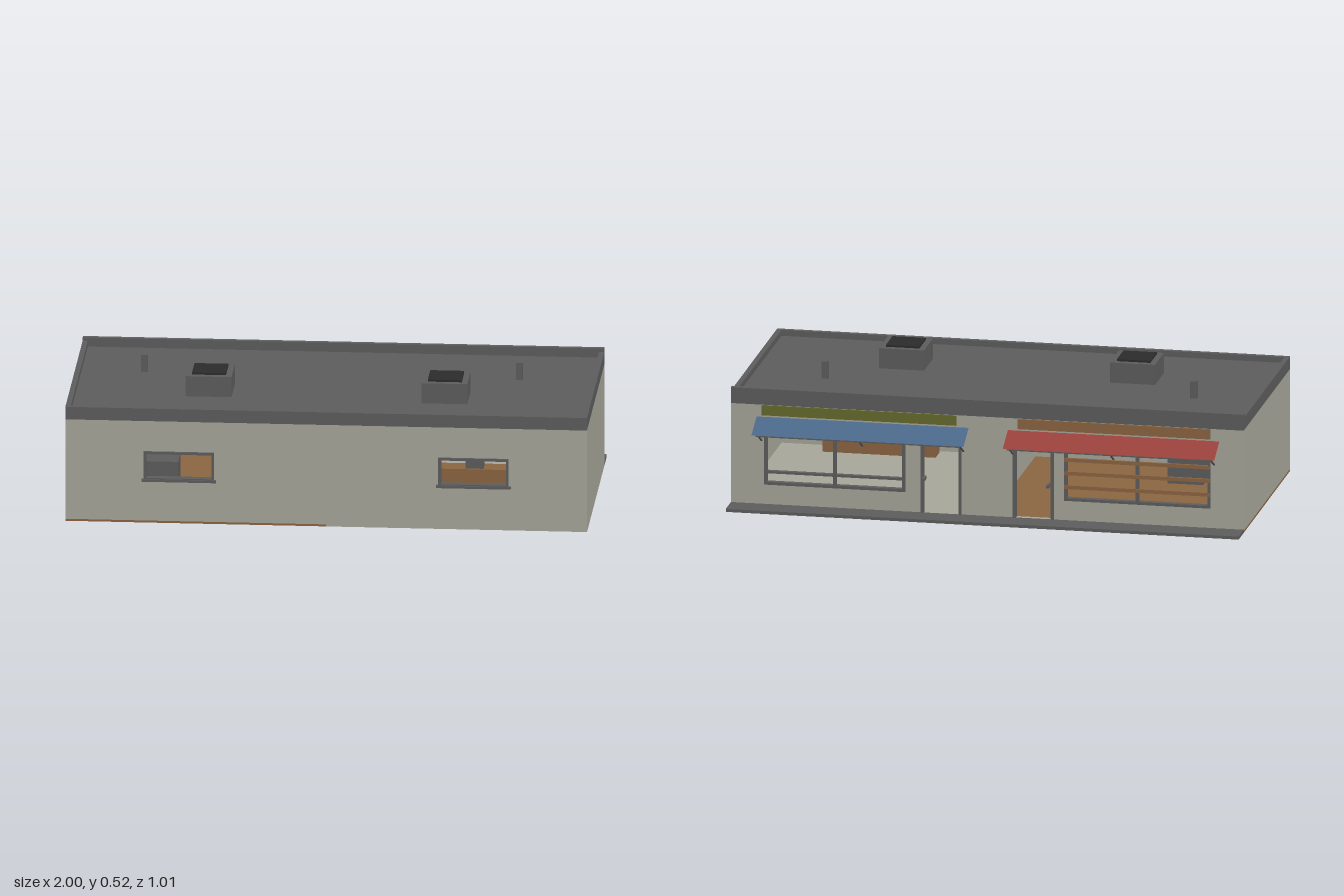
import * as THREE from 'three';

const mat = (name, color, side = THREE.FrontSide) => {
  const m = new THREE.MeshStandardMaterial({ color, side });
  m.name = name;
  return m;
};

export function createModel() {
  const group = new THREE.Group();
  const wall = mat('wall plaster', 0xa6a69b);
  const dark = mat('dark grey trim', 0x5d5d5d);
  const black = mat('black glass', 0x2c2c2c);
  const wood = mat('brown wood', 0x8b6541);
  const red = mat('red canvas', 0x99413a);
  const blue = mat('blue canvas', 0x4b688a);
  const olive = mat('olive sign', 0x66692c);

  const add = (name, geo, m) => {
    const mesh = new THREE.Mesh(geo, m);
    mesh.name = name;
    group.add(mesh);
    return mesh;
  };
  // box given by its lower and upper bounds on each axis
  const box = (name, m, x0, x1, y0, y1, z0, z1) => {
    const b = add(name, new THREE.BoxGeometry(x1 - x0, y1 - y0, z1 - z0), m);
    b.position.set((x0 + x1) / 2, (y0 + y1) / 2, (z0 + z1) / 2);
    return b;
  };
  // wall facing front or back, with rectangular openings [x0, x1, y0, y1]
  const piercedWall = (name, z, holes) => {
    const rect = (P, x0, x1, y0, y1) => {
      const p = new P();
      p.moveTo(x0, y0); p.lineTo(x1, y0); p.lineTo(x1, y1); p.lineTo(x0, y1); p.closePath();
      return p;
    };
    const s = rect(THREE.Shape, -1, 1, 0.008, 0.405);
    holes.forEach(h => s.holes.push(rect(THREE.Path, ...h)));
    add(name, new THREE.ExtrudeGeometry(s, { depth: 0.02, bevelEnabled: false }), wall).position.z = z;
  };
  // rectangular frame around an opening
  const frame = (name, [x0, x1, y0, y1], z0, z1, t = 0.01, bottom = true) => {
    box(name, dark, x0, x0 + t, y0, y1, z0, z1);
    box(name, dark, x1 - t, x1, y0, y1, z0, z1);
    box(name, dark, x0 + t, x1 - t, y1 - t, y1, z0, z1);
    if (bottom) box(name, dark, x0 + t, x1 - t, y0, y0 + t, z0, z1);
  };

  // openings
  const rearWindows = [[-0.7, -0.43, 0.17, 0.285], [0.43, 0.7, 0.17, 0.285]];
  const shopWindows = [[0.32, 0.87, 0.09, 0.305], [-0.87, -0.3, 0.09, 0.305]];
  const doors = [[0.1, 0.26, 0.012, 0.305], [-0.26, -0.1, 0.012, 0.305]];

  // shell
  piercedWall('frontWall', 0.475, rearWindows);
  piercedWall('shopWall', -0.405, [...shopWindows, ...doors]);
  for (const s of [-1, 1]) {
    box('sideWall', wall, s < 0 ? -1 : 0.98, s < 0 ? -0.98 : 1, 0.008, 0.405, -0.385, 0.475);
    box('sideParapet', dark, s < 0 ? -1 : 0.98, s < 0 ? -0.98 : 1, 0.405, 0.455, -0.385, 0.475);
  }
  box('partition', wall, -0.01, 0.01, 0.008, 0.405, -0.385, 0.475);
  box('woodFloor', wood, -1, 0, 0, 0.008, -0.405, 0.495);
  box('plainFloor', wall, 0, 1, 0, 0.008, -0.405, 0.495);
  box('pavement', dark, -1, 1, 0, 0.012, -0.505, -0.405);
  box('roof', dark, -0.98, 0.98, 0.405, 0.432, -0.385, 0.475);
  box('frontParapet', dark, -1, 1, 0.405, 0.455, 0.475, 0.495);
  box('shopParapet', dark, -1, 1, 0.405, 0.468, -0.405, -0.385);

  // roof lights and vents
  for (const [x, z] of [[-0.47, 0.157], [0.436, 0.183]]) {
    box('roofLightBase', dark, x - 0.088, x + 0.088, 0.43, 0.512, z - 0.087, z + 0.087);
    box('roofLightGlass', black, x - 0.065, x + 0.065, 0.512, 0.52, z - 0.063, z + 0.063);
  }
  for (const x of [-0.74, 0.698]) box('roofVent', dark, x - 0.013, x + 0.013, 0.43, 0.5, -0.09, -0.066);

  // plain windows with sills
  for (const w of rearWindows) {
    frame('frontWindowFrame', w, 0.473, 0.502);
    box('frontWindowSill', dark, w[0] - 0.008, w[1] + 0.008, 0.166, 0.176, 0.475, 0.507);
  }

  // shop windows and doors
  for (const w of shopWindows) {
    frame('shopWindowFrame', w, -0.411, -0.388, 0.011);
    const c = (w[0] + w[1]) / 2;
    box('mullion', dark, c - 0.006, c + 0.006, w[2], w[3], -0.409, -0.39);
  }
  box('transom', dark, 0.33, 0.86, 0.135, 0.144, -0.409, -0.39);
  for (const y of [0.145, 0.2, 0.253]) box('windowSlat', wood, -0.87, -0.3, y - 0.007, y + 0.007, -0.414, -0.404);
  for (const d of doors) {
    frame('doorFrame', d, -0.411, -0.388, 0.012, false);
    const x = d[0] > 0 ? d[1] - 0.022 : d[0] + 0.012;
    box('doorHandle', dark, x, x + 0.01, 0.145, 0.157, -0.447, -0.4);
  }

  // awnings with brackets, and sign boards
  const bracketBar = (x, y0, z0, y1, z1) => {
    const len = Math.hypot(y1 - y0, z1 - z0);
    const b = add('awningBracket', new THREE.BoxGeometry(0.006, 0.005, len), dark);
    b.position.set(x, (y0 + y1) / 2, (z0 + z1) / 2);
    b.rotation.x = -Math.atan2(y1 - y0, z1 - z0);
  };
  const slope = Math.atan2(0.048, 0.1);
  for (const [x0, x1, m] of [[0.073, 0.9, blue], [-0.905, -0.08, red]]) {
    const a = add('awning', new THREE.PlaneGeometry(x1 - x0, Math.hypot(0.1, 0.048)), m);
    a.rotation.x = -Math.PI / 2 - slope;
    a.position.set((x0 + x1) / 2, 0.333, -0.455);
    box('awningRail', dark, x0 + 0.015, x1 - 0.015, 0.303, 0.308, -0.502, -0.497);
    for (const x of [x0 + 0.02, (x0 + x1) / 2, x1 - 0.02]) {
      bracketBar(x, 0.307, -0.5, 0.307, -0.405);
      bracketBar(x, 0.305, -0.482, 0.263, -0.405);
    }
  }
  box('oliveSign', olive, 0.12, 0.88, 0.365, 0.404, -0.413, -0.405);
  box('woodSign', wood, -0.87, -0.12, 0.365, 0.404, -0.413, -0.405);

  // furniture seen through the windows
  box('counter', wood, 0.36, 0.8, 0.008, 0.23, 0.38, 0.46);
  box('till', dark, 0.53, 0.6, 0.23, 0.27, 0.4, 0.45);
  box('cabinet', dark, -0.72, -0.58, 0.008, 0.195, 0.2, 0.33);
  return group;
}
